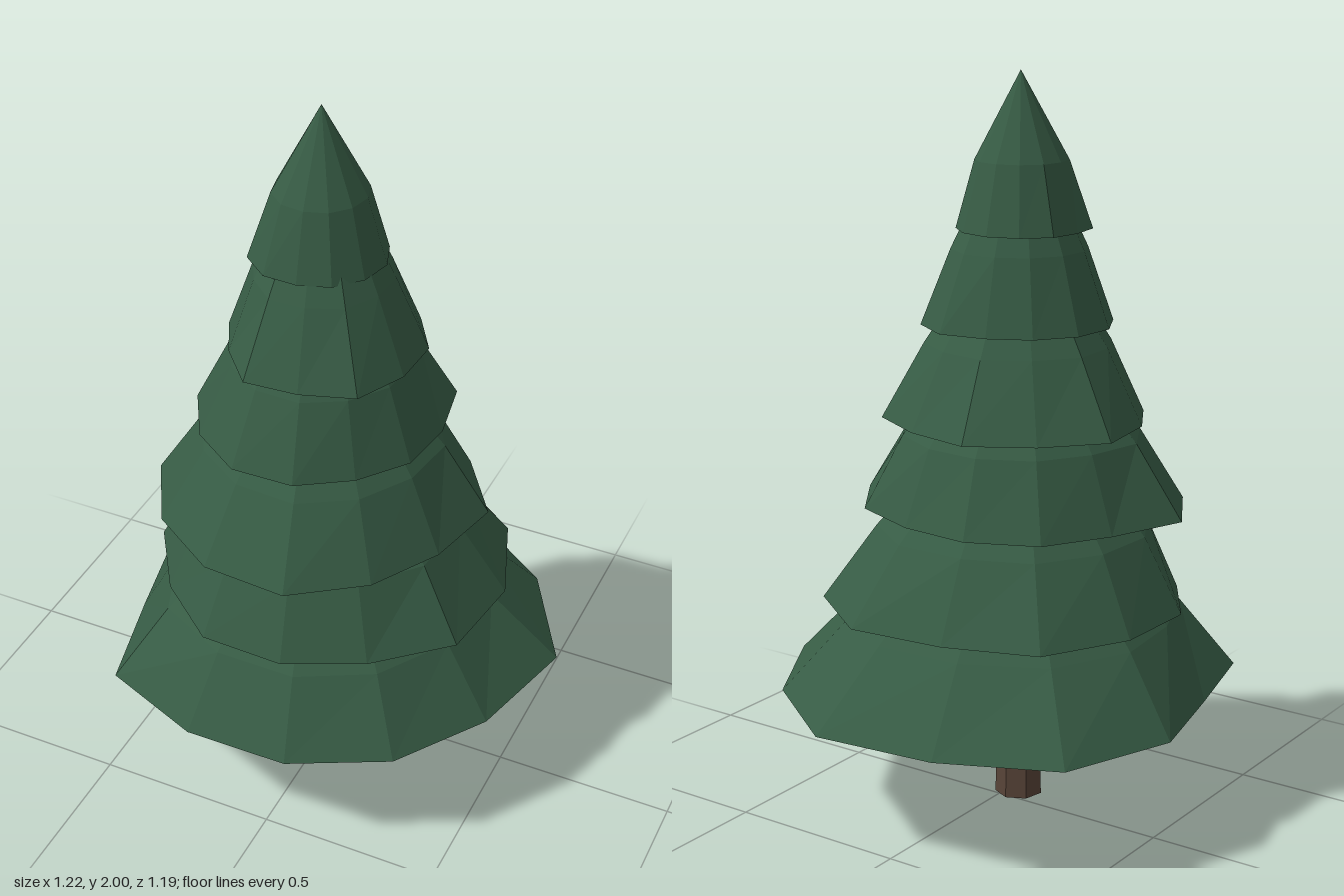
import * as THREE from 'three';

// Branch tiers: base height, mid ring rise, mid ring ratio, tip rise, twist in degrees,
// and rim radii every 30 degrees from +x towards +z
const TIERS = [
  { y: 0.34, rise: 0.2, ratio: 0.74, tip: 0.65, twist: 16,
    rim: [0.58, 0.562, 0.55, 0.558, 0.612, 0.53, 0.604, 0.665, 0.638, 0.682, 0.654, 0.66] },
  { y: 0.59, rise: 0.2, ratio: 0.76, tip: 0.62, twist: 20,
    rim: [0.497, 0.44, 0.44, 0.453, 0.436, 0.47, 0.484, 0.517, 0.49, 0.54, 0.535, 0.51] },
  { y: 0.84, rise: 0.2, ratio: 0.75, tip: 0.6, twist: 18,
    rim: [0.41, 0.42, 0.455, 0.45, 0.45, 0.46, 0.387, 0.395, 0.384, 0.378, 0.42, 0.45] },
  { y: 1.09, rise: 0.2, ratio: 0.72, tip: 0.58, twist: 19,
    rim: [0.31, 0.3, 0.32, 0.335, 0.335, 0.347, 0.387, 0.36, 0.375, 0.35, 0.37, 0.32] },
  { y: 1.34, rise: 0.2, ratio: 0.7, tip: 0.58, twist: 18,
    rim: [0.277, 0.297, 0.273, 0.29, 0.25, 0.25, 0.244, 0.236, 0.236, 0.264, 0.265, 0.277] },
  { y: 1.59, rise: 0.18, ratio: 0.7, tip: 0.41, twist: -3,
    rim: [0.173, 0.17, 0.17, 0.17, 0.185, 0.19, 0.172, 0.176, 0.17, 0.17, 0.17, 0.17] },
];

// Closed skirt: flat underside, flared lower band and pointed upper cone
function tierGeometry({ rise, ratio, tip, twist, rim }) {
  const n = rim.length;
  const mean = rim.reduce((a, b) => a + b, 0) / n;
  const point = (i, r, y) => {
    const a = THREE.MathUtils.degToRad(twist + (360 / n) * i);
    return [Math.cos(a) * r, y, Math.sin(a) * r];
  };
  const pos = [];
  const tri = (...corners) => corners.forEach((c) => pos.push(...c));
  const mid = (i) => point(i, ratio * (0.5 * mean + 0.5 * rim[i]), rise);
  for (let i = 0; i < n; i++) {
    const j = (i + 1) % n;
    const a = point(i, rim[i], 0), b = point(j, rim[j], 0);
    const c = mid(i), d = mid(j);
    tri(a, c, b);
    tri(b, c, d);
    tri(c, [0, tip, 0], d);
    tri(a, b, [0, 0, 0]);
  }
  const geo = new THREE.BufferGeometry();
  geo.setAttribute('position', new THREE.Float32BufferAttribute(pos, 3));
  geo.computeVertexNormals();
  return geo;
}

export function createModel() {
  const needleGreen = new THREE.MeshStandardMaterial({ color: 0x375c45, flatShading: true });
  needleGreen.name = 'needleGreen';
  const barkBrown = new THREE.MeshStandardMaterial({ color: 0x584438, flatShading: true });
  barkBrown.name = 'barkBrown';

  const tree = new THREE.Group();
  tree.name = 'firTree';

  // The stem stands slightly off centre because the lowest tier is uneven
  const axis = new THREE.Vector3(-0.03, 0, 0.053);

  // Tapered trunk
  const trunk = new THREE.Mesh(new THREE.CylinderGeometry(0.052, 0.066, 0.5, 7), barkBrown);
  trunk.name = 'trunk';
  trunk.rotation.y = Math.PI / 7;
  trunk.position.copy(axis).setY(0.25);
  tree.add(trunk);

  // Stacked branch tiers
  TIERS.forEach((tier, i) => {
    const mesh = new THREE.Mesh(tierGeometry(tier), needleGreen);
    mesh.name = `branchTier${i + 1}`;
    mesh.position.copy(axis).setY(tier.y);
    tree.add(mesh);
  });
  return tree;
}
